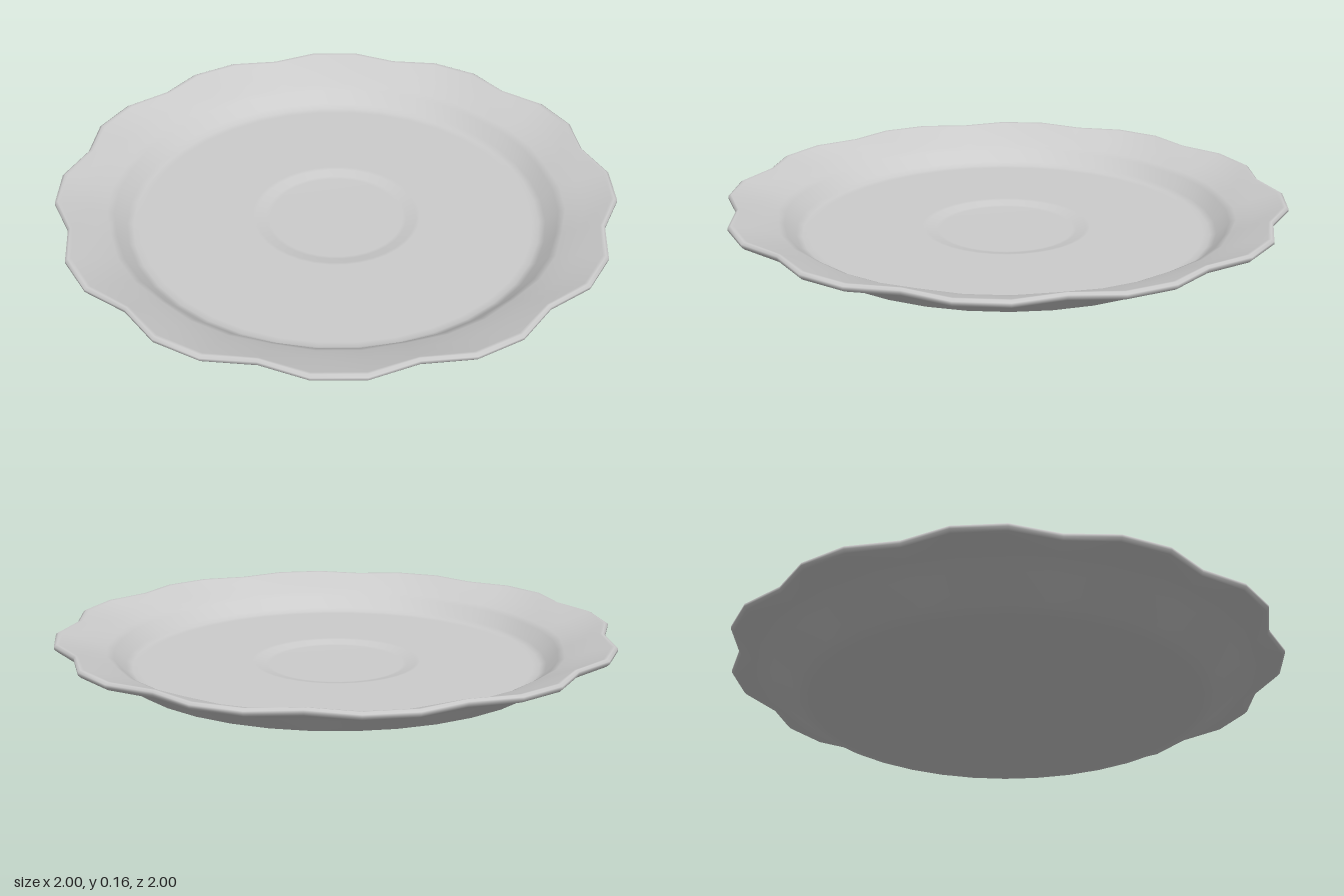
import * as THREE from 'three';
import { mergeVertices } from 'three/addons/utils/BufferGeometryUtils.js';

const SCALLOPS = 12;
const SEGMENTS = SCALLOPS * 3; // one valley and two shoulders per scallop

// Closed cross-section [radius, height], from the underside centre to the upper centre
const PROFILE = [
  [0, 0], [0.69, 0], [0.715, 0.002], [0.775, 0.02], [0.86, 0.08], [0.94, 0.11],
  [1.005, 0.132], [1.0154, 0.142], [1.0154, 0.152], [1.005, 0.158], [0.993, 0.156],
  [0.9, 0.125], [0.835, 0.102], [0.81, 0.09], [0.768, 0.047], [0.745, 0.037], [0.72, 0.035],
  [0.31, 0.035], [0.295, 0.033], [0.26, 0.024], [0.245, 0.022], [0, 0.022],
];

// Pull every third spoke inwards, more strongly towards the edge
function scallop(geometry) {
  const p = geometry.attributes.position;
  for (let i = 0; i < p.count; i++) {
    const x = p.getX(i), z = p.getZ(i);
    const weight = THREE.MathUtils.clamp((Math.hypot(x, z) - 0.78) / 0.235, 0, 1);
    const spoke = Math.round((Math.atan2(x, z) / (2 * Math.PI)) * SEGMENTS);
    const scale = spoke % 3 === 0 ? 1 - 0.043 * weight : 1;
    p.setX(i, x * scale);
    p.setZ(i, z * scale);
  }
}

export function createModel() {
  const model = new THREE.Group();
  model.name = 'scallopedPlate';

  let geometry = new THREE.LatheGeometry(PROFILE.map(([r, y]) => new THREE.Vector2(r, y)), SEGMENTS);
  scallop(geometry);

  // Weld the seam so the shading is smooth all round
  geometry.deleteAttribute('normal');
  geometry.deleteAttribute('uv');
  geometry = mergeVertices(geometry, 1e-4);
  geometry.computeVertexNormals();

  const plate = new THREE.Mesh(geometry, new THREE.MeshStandardMaterial({ color: 0xcccccc }));
  plate.name = 'plate';
  model.add(plate);
  return model;
}
